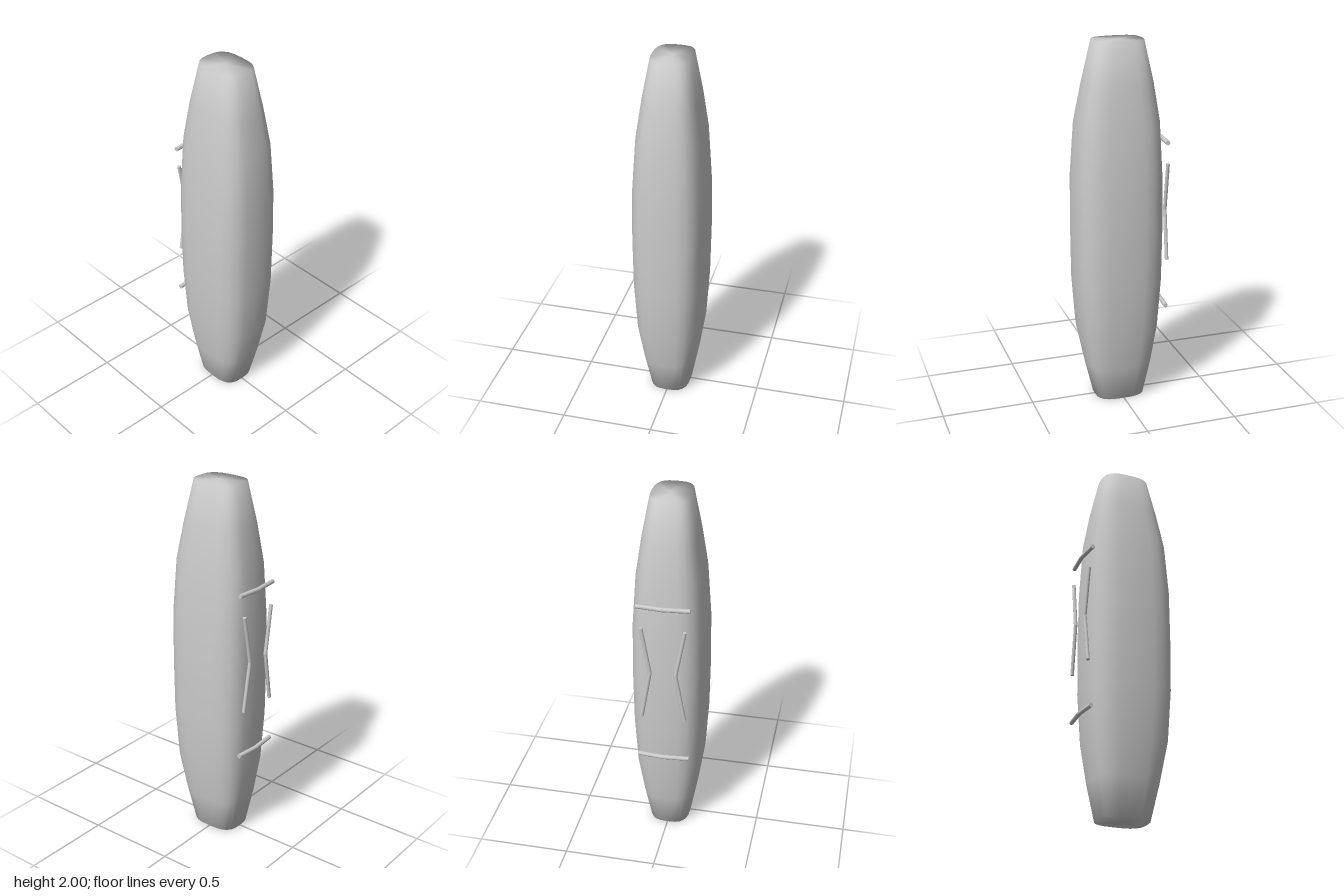
import * as THREE from 'three';

const material = new THREE.MeshStandardMaterial({ color: 0xcccccc, side: THREE.DoubleSide });

// Rounded-rectangle loft; each section is [y, half width, front depth, back depth]
function createShell(sections, sides, power) {
  const pos = [], index = [];
  const round = (v) => Math.sign(v) * Math.abs(v) ** (2 / power);
  for (const [y, w, front, back] of sections) {
    for (let i = 0; i < sides; i++) {
      const a = (i / sides) * Math.PI * 2;
      const s = Math.sin(a);
      pos.push(w * round(Math.cos(a)), y, (s > 0 ? front : back) * round(s));
    }
  }
  const last = (sections.length - 1) * sides;
  const bottom = pos.length / 3, top = bottom + 1;
  pos.push(0, sections[0][0], 0, 0, sections[sections.length - 1][0], 0);
  for (let i = 0; i < sides; i++) {
    const j = (i + 1) % sides;
    for (let k = 0; k < last; k += sides) {
      index.push(k + i, k + sides + i, k + j, k + j, k + sides + i, k + sides + j);
    }
    index.push(bottom, i, j, top, last + j, last + i);
  }
  const geo = new THREE.BufferGeometry();
  geo.setAttribute('position', new THREE.Float32BufferAttribute(pos, 3));
  geo.setIndex(index);
  geo.computeVertexNormals();
  return geo;
}

// Bent rod: straight cylinders joined by small spheres
function createRod(name, radius, points) {
  const rod = new THREE.Group();
  rod.name = name;
  const pts = points.map((p) => new THREE.Vector3(...p));
  for (let i = 0; i < pts.length - 1; i++) {
    const dir = pts[i + 1].clone().sub(pts[i]);
    const bar = new THREE.Mesh(new THREE.CylinderGeometry(radius, radius, dir.length(), 10), material);
    bar.name = 'rodSegment';
    bar.position.copy(pts[i]).addScaledVector(dir, 0.5);
    bar.quaternion.setFromUnitVectors(new THREE.Vector3(0, 1, 0), dir.normalize());
    rod.add(bar);
    if (i > 0) {
      const joint = new THREE.Mesh(new THREE.SphereGeometry(radius, 10, 8), material);
      joint.name = 'rodJoint';
      joint.position.copy(pts[i]);
      rod.add(joint);
    }
  }
  return rod;
}

export function createModel() {
  const model = new THREE.Group();
  model.name = 'taperedBody';

  // Tapered body with flat ends, slightly flatter at the back
  const body = new THREE.Mesh(createShell([
    [0, 0.11, 0.14, 0.135],
    [0.2, 0.147, 0.187, 0.175],
    [0.42, 0.18, 0.231, 0.208],
    [0.7, 0.196, 0.25, 0.226],
    [1, 0.2, 0.252, 0.23],
    [1.28, 0.196, 0.25, 0.227],
    [1.57, 0.176, 0.23, 0.212],
    [1.78, 0.145, 0.188, 0.178],
    [2, 0.104, 0.138, 0.13],
  ], 24, 3), material);
  body.name = 'body';
  model.add(body);

  // Horizontal rods across the back
  for (const [name, y] of [['upperCrossRod', 1.465], ['lowerCrossRod', 0.545]]) {
    model.add(createRod(name, 0.012, [[-0.14, y, -0.229], [0, y, -0.241], [0.14, y, -0.229]]));
  }

  // Pair of bent upright rods on the back
  for (const [name, s] of [['leftUprightRod', 1], ['rightUprightRod', -1]]) {
    model.add(createRod(name, 0.01, [
      [0.115 * s, 0.805, -0.24], [0.068 * s, 1.08, -0.243], [0.115 * s, 1.345, -0.24],
    ]));
  }
  return model;
}
